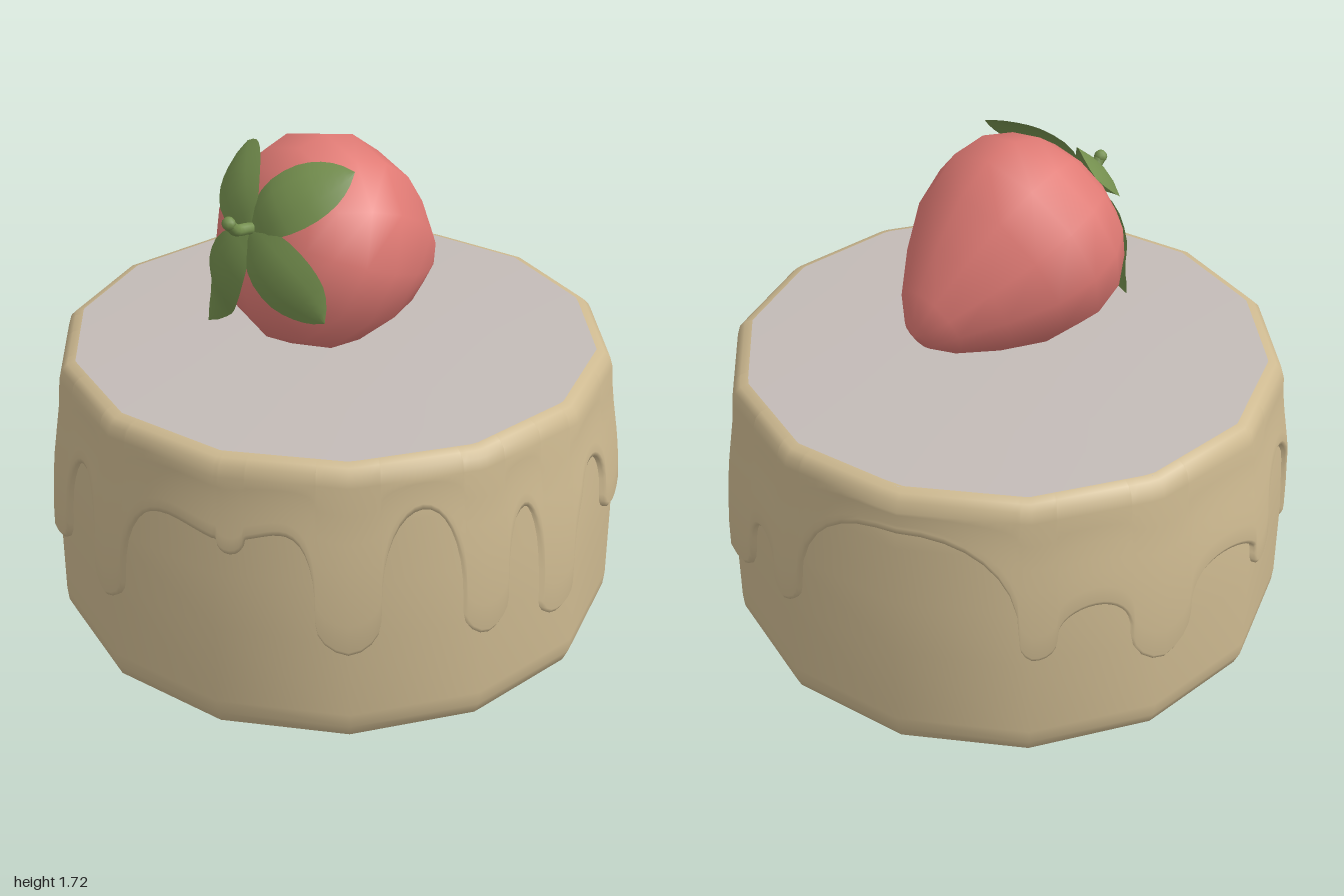
import * as THREE from 'three';

const SIDES = 14;
const RAD = Math.PI / 180;

const mat = (name, color, side = THREE.FrontSide) => {
  const m = new THREE.MeshStandardMaterial({ color, side });
  m.name = name;
  return m;
};
const sponge = mat('caramel beige', 0xcdb990);
const topping = mat('pale grey cream', 0xc3bbb7);
const red = mat('berry red', 0xe07a74);
const green = mat('leaf green', 0x748f4e, THREE.DoubleSide);

function add(group, name, geometry, material) {
  const mesh = new THREE.Mesh(geometry, material);
  mesh.name = name;
  group.add(mesh);
  return mesh;
}

const lathe = (profile, sides, start = 0) =>
  new THREE.LatheGeometry(profile.map(([r, y]) => new THREE.Vector2(r, y)), sides, start);

// Drips around the cake: centre angle, half width (degrees), lowest y, height of the arch after it
const DRIPS = [
  [-39, 6, 0.36, 0.835], [-12, 4.6, 0.36, 0.745], [6.5, 4, 0.29, 0.745], [34, 4.5, 0.45, 0.685],
  [67.5, 7.5, 0.33, 0.6], [90, 3.5, 0.43, 0.865], [143, 3.5, 0.43, 0.6], [168, 6.5, 0.33, 0.6],
  [198, 4.5, 0.43, 0.72], [225, 4, 0.29, 0.74], [246, 5, 0.36, 0.74], [270, 4, 0.36, 0.75],
  [299, 2.5, 0.68, 0.76],
];

// Lower edge of the icing as [angle, y]: round drip ends joined by round arches
function dripLine() {
  const line = [];
  const shoulder = ([, hw, low]) => low + hw * RAD;
  DRIPS.forEach((drip, i) => {
    const [centre, hw, low, peak] = drip;
    const wrap = i === DRIPS.length - 1 ? 360 : 0;
    const next = DRIPS[(i + 1) % DRIPS.length];
    for (let k = 0; k <= 8; k++) {
      const a = (k / 8) * Math.PI;
      line.push([centre - hw * Math.cos(a), low + hw * RAD * (1 - Math.sin(a))]);
    }
    const from = centre + hw, to = next[0] + wrap - next[1];
    for (let k = 1; k < 16; k++) {
      const a = (k / 16) * Math.PI, t = (1 - Math.cos(a)) / 2;
      const base = shoulder(drip) * (1 - t) + shoulder(next) * t;
      line.push([from + (to - from) * t, base + (peak - base) * Math.pow(Math.sin(a), 0.75)]);
    }
  });
  line.push([DRIPS[0][0] + 360 - DRIPS[0][1], shoulder(DRIPS[0])]);
  return line;
}

// Radius of the cake wall at a height, and the polygon correction at an angle
const wall = (y) => 0.975 - 0.04 * THREE.MathUtils.smoothstep(y, 0.4, 0.97);
function polygon(angle) {
  const step = (2 * Math.PI) / SIDES;
  const a = ((((angle - Math.PI / 2) % step) + step) % step) - step / 2;
  return Math.cos(step / 2) / Math.cos(a);
}

function icingGeometry() {
  const line = dripLine(), pos = [], index = [];
  let rows = 0;
  for (const [deg, low] of line) {
    const a = deg * RAD, p = polygon(a);
    const section = [[0.888, 1.002], [0.915, 0.994], [0.935, 0.975]];
    for (let k = 0; k <= 6; k++) {
      const y = 0.94 + (low + 0.02 - 0.94) * (k / 6);
      section.push([wall(y) + 0.01 + 0.014 * THREE.MathUtils.smoothstep(0.94 - y, 0, 0.3), y]);
    }
    section.push([wall(low) + 0.014, low + 0.003], [wall(low) - 0.012, low]);
    rows = section.length;
    for (const [r, y] of section) pos.push(r * p * Math.sin(a), y, r * p * Math.cos(a));
  }
  for (let i = 0; i < line.length - 1; i++) {
    for (let j = 0; j < rows - 1; j++) {
      const a = i * rows + j, b = a + 1, d = a + rows, c = d + 1;
      index.push(a, b, d, b, c, d);
    }
  }
  const g = new THREE.BufferGeometry();
  g.setAttribute('position', new THREE.Float32BufferAttribute(pos, 3));
  g.setIndex(index);
  g.computeVertexNormals();
  // Smooth the shading across the flat sides
  const n = g.attributes.normal;
  line.forEach(([deg], i) => {
    for (let j = 0; j < rows; j++) {
      const k = i * rows + j, y = n.getY(k), h = Math.sqrt(Math.max(0, 1 - y * y));
      n.setXYZ(k, h * Math.sin(deg * RAD), y, h * Math.cos(deg * RAD));
    }
  });
  return g;
}

// Leaf that spreads from the stem and curls over the berry's shoulder
function leafGeometry(angle, tipR, tipS) {
  const path = new THREE.CatmullRomCurve3([
    [0.01, -0.025], [0.12, -0.035], [0.23, 0.0], [0.31, 0.055], [tipR, tipS],
  ].map(([r, s]) => new THREE.Vector3(r, s, 0)));
  const N = 10, M = 4, pos = [], index = [];
  const ca = Math.cos(angle), sa = Math.sin(angle);
  for (let i = 0; i <= N; i++) {
    const t = i / N, c = path.getPoint(t);
    const half = 0.02 * (1 - t) + 0.095 * Math.pow(Math.sin(Math.PI * Math.pow(t, 0.85)), 0.8);
    for (let j = 0; j <= M; j++) {
      const u = (j / M) * 2 - 1, w = u * half;
      pos.push(-(c.x * ca - w * sa), c.y + 0.025 * u * u * Math.sin(Math.PI * t), c.x * sa + w * ca);
    }
  }
  for (let i = 0; i < N; i++) {
    for (let j = 0; j < M; j++) {
      const a = i * (M + 1) + j, b = a + 1, d = a + M + 1, c = d + 1;
      index.push(a, b, d, b, c, d);
    }
  }
  const g = new THREE.BufferGeometry();
  g.setAttribute('position', new THREE.Float32BufferAttribute(pos, 3));
  g.setIndex(index);
  g.computeVertexNormals();
  // Outer side of the leaf faces away from the berry
  return g;
}

function createStrawberry() {
  const berry = new THREE.Group();
  berry.name = 'strawberry';
  add(berry, 'berryFlesh', lathe([
    [0, 0], [0.12, 0.005], [0.21, 0.035], [0.285, 0.085], [0.345, 0.18], [0.362, 0.3],
    [0.325, 0.44], [0.235, 0.59], [0.135, 0.72], [0.06, 0.782], [0, 0.8],
  ], 12), red);

  // Four leaves: angle around the axis, tip radius, tip position along the axis
  [[41, 0.37, 0.11], [121, 0.375, 0.09], [-152, 0.41, 0.09], [-48, 0.36, 0.11]].forEach(([deg, r, s]) =>
    add(berry, 'leaf', leafGeometry(deg * RAD, r, s), green));

  berry.rotation.z = -112 * RAD;
  berry.position.set(-0.35, 1.47, 0.015);
  return berry;
}

export function createModel() {
  const cake = new THREE.Group();
  cake.name = 'cake';
  const start = Math.PI / SIDES;

  // Cake body with rounded foot, and its flat underside
  add(cake, 'cakeBody', lathe([
    [0.915, 0], [0.95, 0.025], [0.97, 0.07], [0.975, 0.12], [0.975, 0.4],
    [wall(0.6), 0.6], [wall(0.8), 0.8], [0.93, 0.95], [0.88, 0.99],
  ], SIDES, start), sponge);
  add(cake, 'cakeUnderside', new THREE.CircleGeometry(0.915, SIDES).rotateX(Math.PI / 2), sponge);

  // Dripping icing and slightly domed cream top
  add(cake, 'drippingIcing', icingGeometry(), sponge);
  add(cake, 'creamTop', lathe([[0.892, 1.0], [0.55, 1.01], [0.2, 1.015], [0, 1.015]], SIDES, start), topping);

  // Strawberry with its curved stem
  cake.add(createStrawberry());
  const stemPath = new THREE.CatmullRomCurve3([
    new THREE.Vector3(-0.32, 1.47, 0.015), new THREE.Vector3(-0.385, 1.49, 0.02),
    new THREE.Vector3(-0.435, 1.5, 0.025), new THREE.Vector3(-0.463, 1.53, 0.025),
  ]);
  add(cake, 'stem', new THREE.TubeGeometry(stemPath, 10, 0.02, 8), green);
  const tip = add(cake, 'stemTip', new THREE.SphereGeometry(0.023, 8, 6), green);
  tip.position.set(-0.463, 1.53, 0.025);
  return cake;
}
